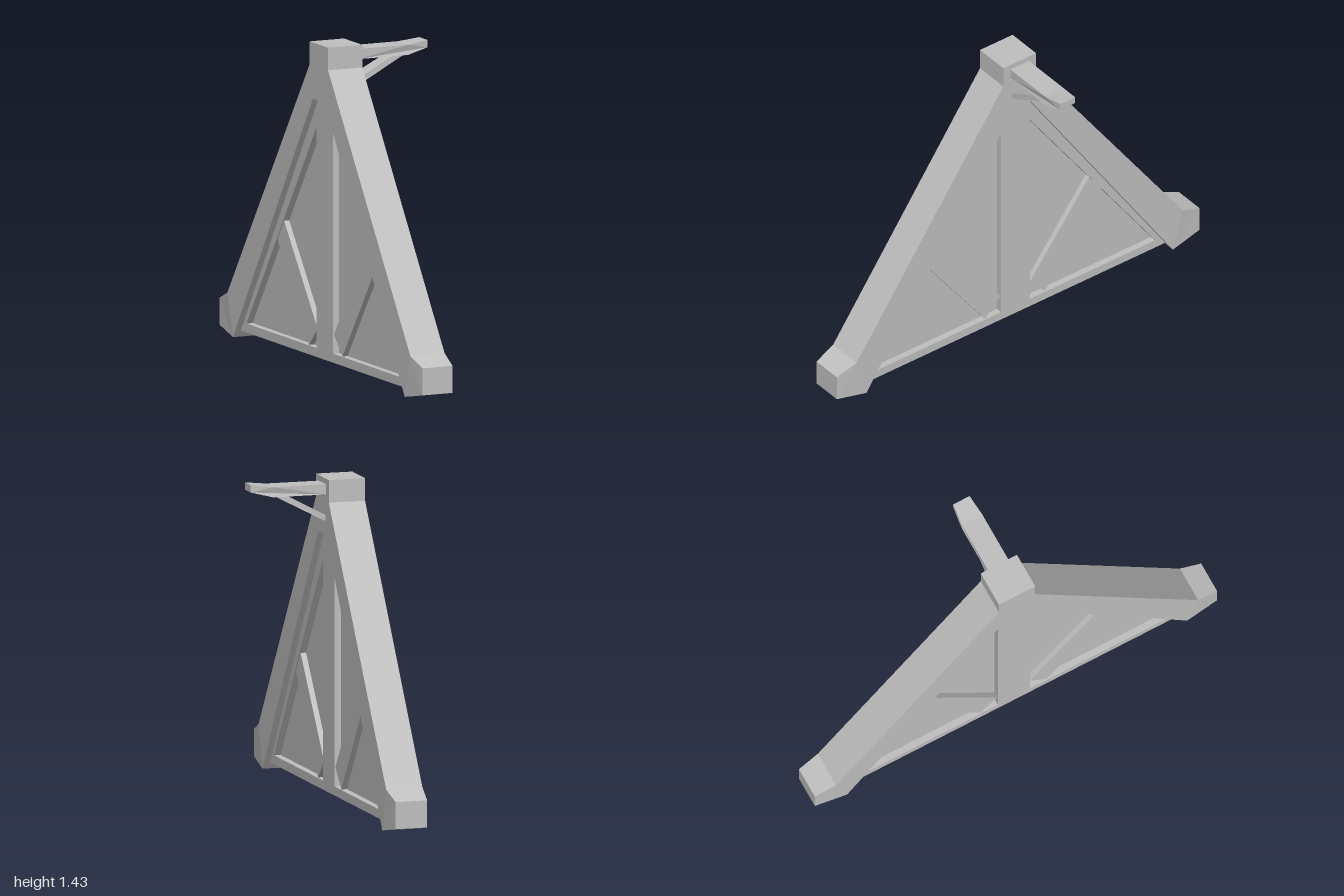
import * as THREE from 'three';

const CENTRE_X = -0.1715; // middle plane of the truss
const HALF = 0.0835;      // half thickness of the heavy legs

const grey = new THREE.MeshStandardMaterial({ color: 0xc0c0c0 });
grey.name = 'plain grey';

const toPoints = (pts) => pts.map(([z, y]) => new THREE.Vector2(-z, y));
const mirror = (pts) => pts.map(([z, y]) => [-z, y]);

// Plate drawn in the z-y plane and given thickness along x
function slab(name, pts, half, holes = []) {
  const shape = new THREE.Shape(toPoints(pts));
  holes.forEach((h) => shape.holes.push(new THREE.Path(toPoints(h))));
  const geo = new THREE.ExtrudeGeometry(shape, { depth: 2 * half, bevelEnabled: false });
  geo.translate(0, 0, -half);
  geo.rotateY(Math.PI / 2);
  const mesh = new THREE.Mesh(geo, grey);
  mesh.name = name;
  mesh.position.x = CENTRE_X;
  return mesh;
}

// Bar drawn in the x-y plane, with its width along z set by a rule of x
function bar(name, pts, widthAt) {
  const shape = new THREE.Shape(pts.map(([x, y]) => new THREE.Vector2(x, y)));
  const geo = new THREE.ExtrudeGeometry(shape, { depth: 2, bevelEnabled: false });
  geo.translate(0, 0, -1);
  const p = geo.attributes.position;
  for (let i = 0; i < p.count; i++) p.setZ(i, Math.sign(p.getZ(i)) * widthAt(p.getX(i)));
  geo.computeVertexNormals();
  const mesh = new THREE.Mesh(geo, grey);
  mesh.name = name;
  return mesh;
}

export function createModel() {
  const model = new THREE.Group();
  model.name = 'gableTruss';

  // Heavy A-shaped legs and the block at the peak
  const leg = [[0.09, 1.33], [0.9, 0.19], [0.845, 0], [0.06, 1.18]];
  model.add(slab('legs', [...leg, ...mirror(leg).reverse()], HALF));
  model.add(slab('peakBlock', [[0.09, 1.33], [0.09, 1.43], [-0.09, 1.43], [-0.09, 1.33]], HALF));

  // Stepped-back inner frame: post, bottom beam and rafters around two openings
  const opening = [[0.08, 1.05], [0.77, 0.07], [0.08, 0.07]];
  model.add(slab('innerFrame', [[0.06, 1.18], [0.828, 0.03], [-0.828, 0.03], [-0.06, 1.18]],
    0.055, [opening, mirror(opening)]));

  const brace = [[0.08, 0.155], [0.41, 0.582], [0.475, 0.49], [0.165, 0.07], [0.08, 0.07]];
  const foot = [[0.9, 0.19], [1, 0.15], [1, 0.03], [0.845, 0]];
  for (const side of [1, -1]) {
    const place = (pts) => (side > 0 ? pts : mirror(pts));
    const label = side > 0 ? 'front' : 'back';

    // Thin infill panel and diagonal brace
    model.add(slab(label + 'Panel', place(opening), 0.025));
    const bracePts = [brace[0], brace[1], brace[2], brace[3]];
    model.add(slab(label + 'Brace', place(bracePts), 0.05));

    // Foot, narrowed toward its outer end
    const f = slab(label + 'Foot', place(foot), HALF);
    const p = f.geometry.attributes.position;
    for (let i = 0; i < p.count; i++) {
      if (Math.abs(p.getZ(i)) > 0.99) p.setX(i, Math.sign(p.getX(i)) * 0.0725);
    }
    f.geometry.computeVertexNormals();
    model.add(f);
  }

  // Bracket arm with a raised, tapered tip, and its strut
  model.add(bar('bracketArm',
    [[-0.09, 1.36], [0.155, 1.36], [0.255, 1.385], [0.255, 1.417], [0.155, 1.405], [-0.09, 1.405]],
    (x) => (x > 0.2 ? 0.041 : 0.051)));
  model.add(bar('bracketStrut',
    [[-0.09, 1.24], [0.145, 1.362], [0.09, 1.362], [-0.09, 1.267]],
    (x) => (x > 0 ? 0.035 : 0.043)));

  return model;
}
